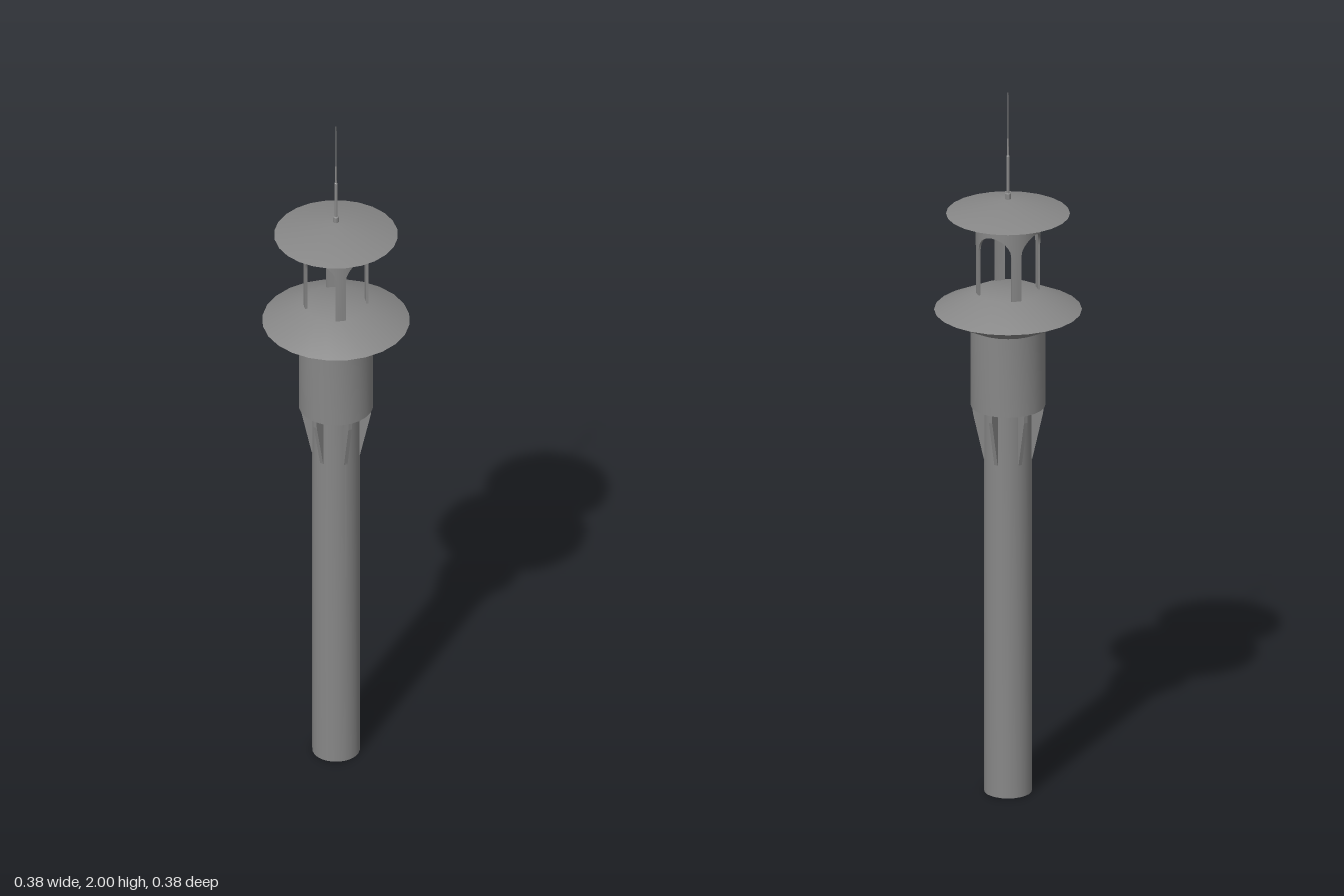
import * as THREE from 'three';
import { toCreasedNormals } from 'three/addons/utils/BufferGeometryUtils.js';

const SIDES = 24;
const material = new THREE.MeshStandardMaterial({ color: 0x878787, side: THREE.DoubleSide });

function add(group, name, geometry) {
  const mesh = new THREE.Mesh(geometry, material);
  mesh.name = name;
  group.add(mesh);
  return mesh;
}

// Turned part from [radius, y] pairs, listed bottom to top
function turned(points, sides = SIDES) {
  const profile = points.map(([r, y]) => new THREE.Vector2(r, y));
  return toCreasedNormals(new THREE.LatheGeometry(profile, sides), 0.5);
}

// Ring wall pierced by four round arches, leaving four posts on the diagonals
function arcade(outer, inner, floor, spring, top, halfWidth) {
  const stations = []; // [angle, height of the underside]
  const steps = 12;
  for (let q = 0; q < 4; q++) {
    const mid = q * Math.PI / 2;
    const jamb = Math.asin(halfWidth / outer);
    for (let i = 0; i <= steps; i++) {
      const t = -Math.PI / 2 + Math.PI * i / steps;
      stations.push([mid + Math.asin(halfWidth * Math.sin(t) / outer), spring + halfWidth * Math.cos(t)]);
    }
    const postWidth = Math.PI / 2 - 2 * jamb;
    for (let i = 0; i <= 3; i++) stations.push([mid + jamb + postWidth * i / 3, floor]);
  }
  const positions = [];
  const index = [];
  stations.forEach(([a, low], i) => {
    for (const [r, y] of [[inner, low], [outer, low], [outer, top], [inner, top]]) {
      positions.push(r * Math.sin(a), y, r * Math.cos(a));
    }
    const next = (i + 1) % stations.length;
    for (let k = 0; k < 4; k++) {
      const a0 = i * 4 + k, a1 = i * 4 + (k + 1) % 4;
      const b0 = next * 4 + k, b1 = next * 4 + (k + 1) % 4;
      index.push(a0, b0, b1, a0, b1, a1);
    }
  });
  const geometry = new THREE.BufferGeometry();
  geometry.setAttribute('position', new THREE.Float32BufferAttribute(positions, 3));
  geometry.setIndex(index);
  return toCreasedNormals(geometry, 0.6);
}

export function createModel() {
  const tower = new THREE.Group();
  tower.name = 'tower';

  // Shaft and the wider drum it carries
  add(tower, 'shaft', turned([[0, 0], [0.062, 0], [0.062, 1.08]]));
  add(tower, 'drum', turned([[0.06, 1.07], [0.097, 1.07], [0.097, 1.293]]));

  // Six tapered brackets under the drum
  const brackets = new THREE.Group();
  brackets.name = 'brackets';
  tower.add(brackets);
  const fin = new THREE.Shape([[0.055, 1.072], [0.093, 1.072], [0.091, 1.048], [0.063, 0.922], [0.055, 0.922]]
    .map(([x, y]) => new THREE.Vector2(x, y)));
  const finGeometry = new THREE.ExtrudeGeometry(fin, { depth: 0.01, bevelEnabled: false });
  finGeometry.translate(0, 0, -0.005);
  for (let i = 0; i < 6; i++) {
    add(brackets, 'bracket', finGeometry).rotation.y = i * Math.PI / 3;
  }

  // Thin rib running down the shaft below one bracket
  const rib = add(tower, 'rib', new THREE.BoxGeometry(0.004, 0.36, 0.002));
  const ribAngle = 2 * Math.PI / 3;
  rib.position.set(0.062 * Math.cos(ribAngle), 0.75, 0.062 * Math.sin(ribAngle));
  rib.rotation.y = -ribAngle;

  // Double-coned gallery
  add(tower, 'gallery', turned([[0.097, 1.288], [0.192, 1.335], [0.085, 1.386], [0, 1.386]]));

  // Open lantern and its shallow conical roof
  add(tower, 'lantern', arcade(0.084, 0.078, 1.385, 1.509, 1.603, 0.049));
  add(tower, 'roof', turned([[0, 1.601], [0.161, 1.601], [0, 1.643]]));

  // Stepped mast ending in a needle
  add(tower, 'mast', turned([
    [0.008, 1.636], [0.008, 1.656], [0.0045, 1.658], [0.0045, 1.76],
    [0.0025, 1.762], [0, 2],
  ], 8));

  return tower;
}
